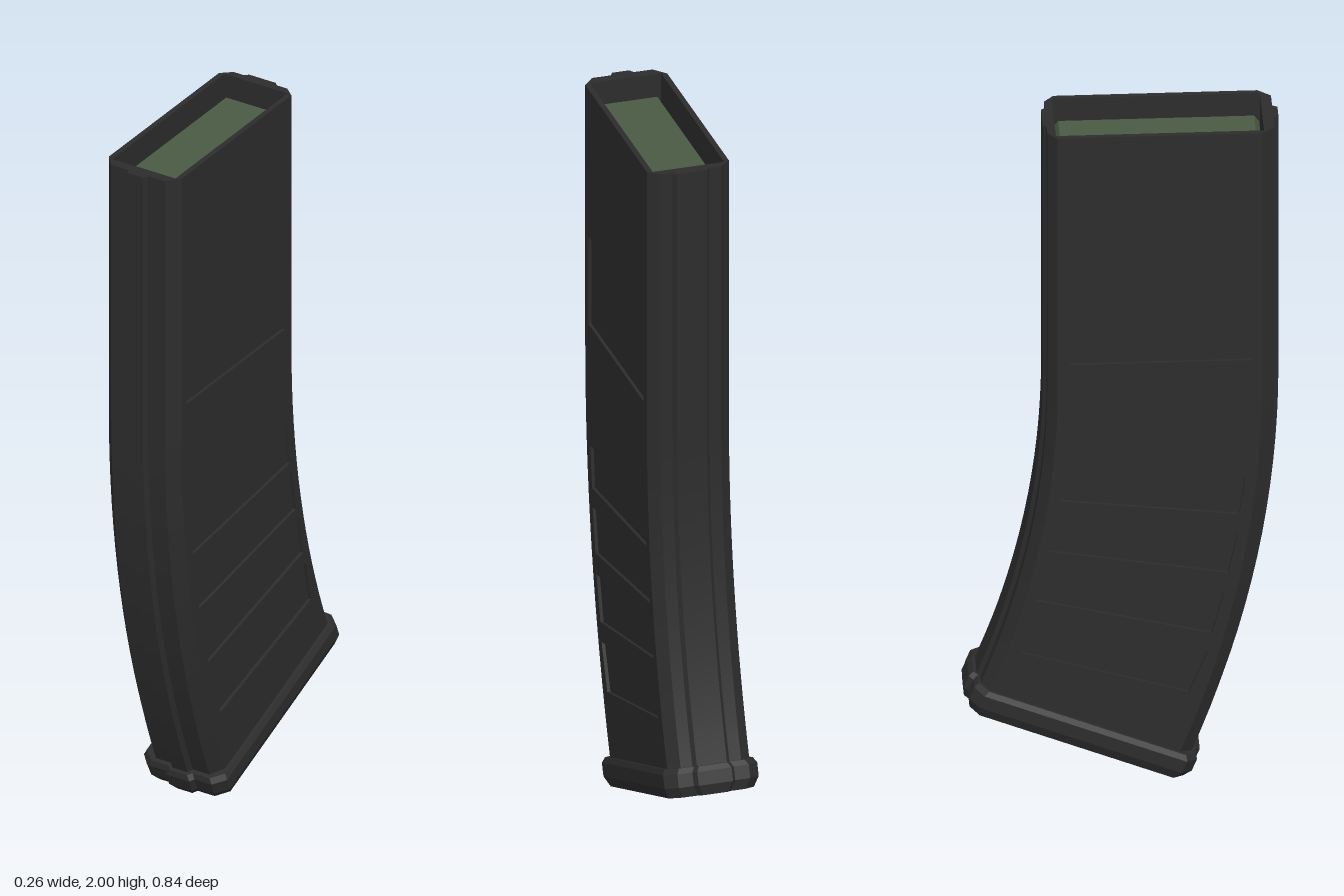
import * as THREE from 'three';

const body = new THREE.MeshStandardMaterial({ color: 0x2c2c2c });
body.name = 'charcoal polymer';
const green = new THREE.MeshStandardMaterial({ color: 0x4a5a43 });
green.name = 'olive green';

// The case runs straight down, then bends around this centre.
const CZ = -2.665, CY = 1.23, END = 22 * Math.PI / 180, TOP = -0.77;

// Places a section point; theta is the bend, off the distance along the path from there.
function place(x, z, theta, off) {
  const r = z - CZ, s = Math.sin(theta), c = Math.cos(theta);
  return [x, CY - r * s - off * c, CZ + r * c - off * s];
}

// Mirrors half a section (front to back on the +x side) into a closed loop.
const mirror = half => [...half, ...half.map(([x, z]) => [-x, z]).reverse()];

// Moves section points inward towards the middle.
const inset = (section, d) => section.map(([x, z]) =>
  [x - Math.sign(x) * d, z - Math.sign(z - 0.105) * d]);

// Skins sections from top to bottom, with sharp edges along the path.
function loft(levels, { flat = false, caps = false, inward = false } = {}) {
  const pos = [], idx = [], n = levels[0].section.length;
  const rows = levels.map(l => l.section.map(([x, z]) => place(x, z, l.theta, l.off)));
  for (let i = 0; i < n; i++) {
    const base = pos.length / 3;
    rows.forEach(row => pos.push(...row[i], ...row[(i + 1) % n]));
    for (let k = 0; k < rows.length - 1; k++) {
      const a = base + 2 * k, b = a + 1, c = a + 2, d = a + 3;
      if (inward) idx.push(a, b, c, b, d, c);
      else idx.push(a, c, b, b, c, d);
    }
  }
  if (caps) {
    [0, rows.length - 1].forEach((k, end) => {
      const base = pos.length / 3;
      rows[k].forEach(p => pos.push(...p));
      const pts = levels[k].section.map(([x, z]) => new THREE.Vector2(x, -z));
      THREE.ShapeUtils.triangulateShape(pts, []).forEach(([a, b, c]) =>
        idx.push(base + a, base + (end ? c : b), base + (end ? b : c)));
    });
  }
  let g = new THREE.BufferGeometry();
  g.setAttribute('position', new THREE.Float32BufferAttribute(pos, 3));
  g.setIndex(idx);
  if (flat) g = g.toNonIndexed();
  g.computeVertexNormals();
  return g;
}

// Case section: ribs front and back, chamfered corners, shallow beds for the side skins.
const SKIN = 0.115, CORE = 0.106, ZF = 0.375, ZB = -0.172;
const front = [[0.024, 0.424], [0.032, 0.41], [0.085, 0.41], [SKIN, ZF]];
const back = [[SKIN, ZB], [0.085, -0.198], [0.052, -0.198], [0.042, -0.208]];
const outline = mirror([...front, ...back]);
const caseSection = mirror([...front, [CORE, ZF], [CORE, ZB], ...back]);
const cavity = mirror([[0.1, 0.381], [0.1, -0.176]]);

const thetas = Array.from({ length: 17 }, (_, i) => END * i / 16);
const path = [{ theta: 0, off: TOP }, ...thetas.map(theta => ({ theta, off: 0 }))];

// Recessed grip panels, as (z, y) corners.
const panels = [
  [[0.35, 1.56], [-0.14, 1.56], [-0.14, 1.3], [0.35, 1.3]],
  [[0.33, 0.945], [-0.15, 1.005], [-0.165, 0.88], [0.315, 0.825]],
  [[0.31, 0.77], [-0.175, 0.85], [-0.195, 0.725], [0.285, 0.645]],
  [[0.275, 0.585], [-0.21, 0.695], [-0.23, 0.575], [0.24, 0.46]],
  [[0.23, 0.405], [-0.245, 0.54], [-0.27, 0.415], [0.18, 0.28]],
];

// Side skin: case profile with the panels cut through to the core.
function sideSkin() {
  const edge = z => path.map(({ theta, off }) => {
    const p = place(0, z, theta, off);
    return new THREE.Vector2(-p[2], p[1]);
  });
  const shape = new THREE.Shape([...edge(ZF), ...edge(ZB).reverse()]);
  panels.forEach(p => shape.holes.push(
    new THREE.Path(p.map(([z, y]) => new THREE.Vector2(-z, y)))));
  return new THREE.ExtrudeGeometry(shape, { depth: SKIN - CORE, bevelEnabled: false })
    .rotateY(Math.PI / 2);
}

export function createModel() {
  const group = new THREE.Group();
  group.name = 'curvedBoxMagazine';
  const add = (name, geometry, material) => {
    const mesh = new THREE.Mesh(geometry, material);
    mesh.name = name;
    group.add(mesh);
    return mesh;
  };

  // Curved case
  add('case', loft(path.map(p => ({ ...p, section: caseSection }))), body);
  const skin = sideSkin();
  add('leftSideSkin', skin, body).position.x = CORE;
  add('rightSideSkin', skin, body).position.x = -SKIN;

  // Open mouth: rim and inner walls
  const toVec = ([x, z]) => new THREE.Vector2(x, -z);
  const rim = new THREE.Shape(outline.map(toVec));
  rim.holes.push(new THREE.Path(cavity.map(toVec)));
  add('rim', new THREE.ShapeGeometry(rim).rotateX(-Math.PI / 2).translate(0, CY - TOP, 0), body);
  add('innerWalls', loft([
    { section: cavity, theta: 0, off: TOP },
    { section: cavity, theta: 0, off: TOP + 0.3 },
  ], { inward: true }), body);

  // Follower with a bevelled top
  const follower = inset(cavity, 0.002);
  add('follower', loft([
    { section: inset(follower, 0.014), theta: 0, off: TOP + 0.06 },
    { section: follower, theta: 0, off: TOP + 0.085 },
    { section: follower, theta: 0, off: TOP + 0.25 },
  ], { flat: true, caps: true }), green);

  // Floor plate with bevelled rims and end tabs
  const plate = mirror([
    [0.036, 0.442], [0.046, 0.43], [0.1, 0.43], [0.132, 0.4],
    [0.132, -0.185], [0.1, -0.213], [0.058, -0.213], [0.048, -0.226],
  ]);
  add('floorPlate', loft([
    { section: inset(plate, 0.008), theta: END, off: -0.006 },
    { section: plate, theta: END, off: 0.008 },
    { section: plate, theta: END, off: 0.045 },
    { section: inset(plate, 0.013), theta: END, off: 0.073 },
  ], { flat: true, caps: true }), body);

  return group;
}
